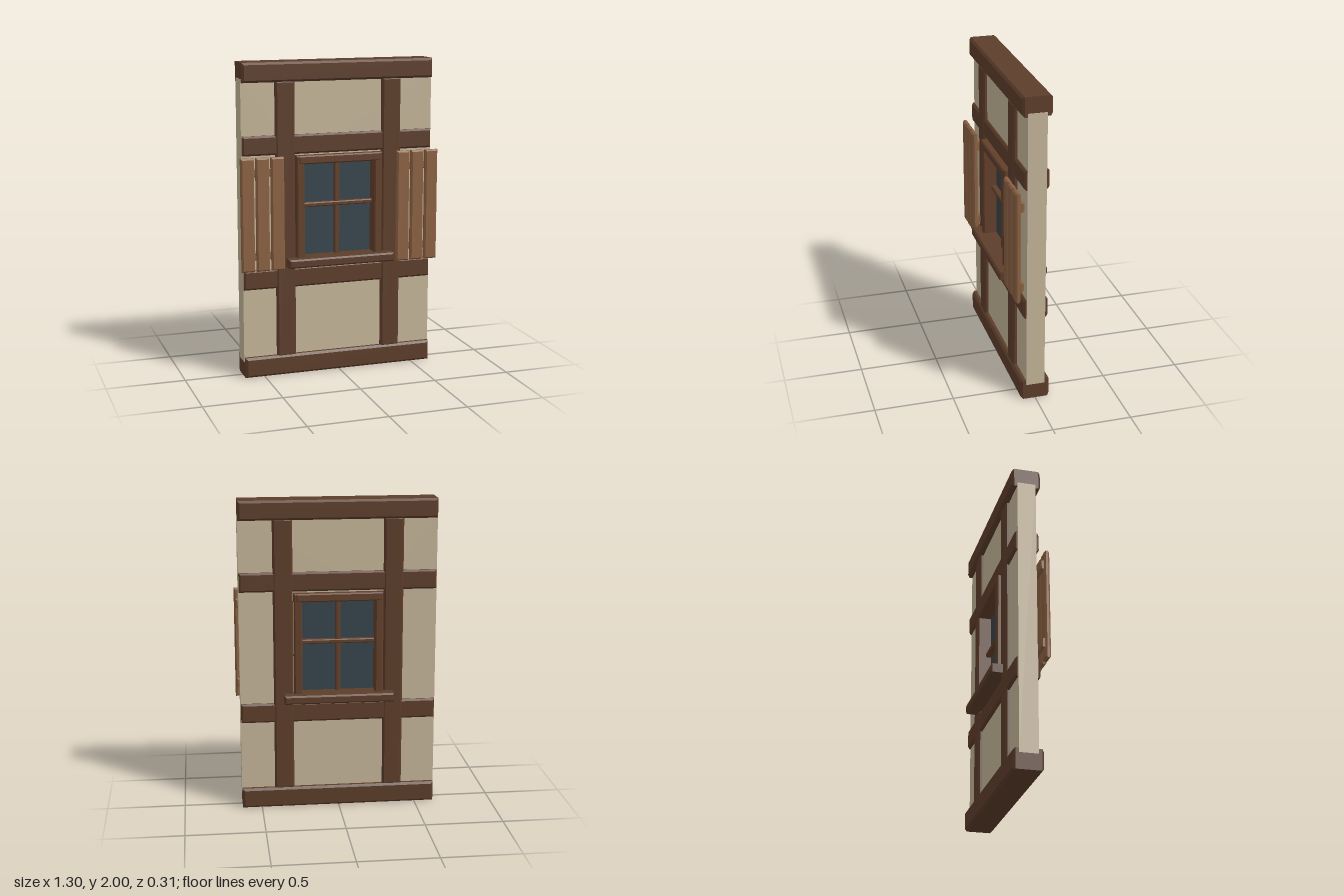
import * as THREE from 'three';

const mat = (name, color) => {
  const m = new THREE.MeshStandardMaterial({ color });
  m.name = name;
  return m;
};

export function createModel() {
  const model = new THREE.Group();
  model.name = 'timberFramedWall';
  const timber = mat('darkTimber', 0x5c3d2a);
  const trim = mat('windowTimber', 0x623f2a);
  const plank = mat('shutterWood', 0x8a6142);
  const plaster = mat('plaster', 0xc4b498);
  const glass = mat('glass', 0x36444c);

  // Box with chamfered edges, given by its limits on each axis
  function beam(name, material, [x0, x1], [y0, y1], [z0, z1], bevel = 0.012, parent = model) {
    const w = (x1 - x0) / 2 - bevel, h = (y1 - y0) / 2 - bevel, d = z1 - z0 - 2 * bevel;
    const shape = new THREE.Shape([
      new THREE.Vector2(-w, -h), new THREE.Vector2(w, -h),
      new THREE.Vector2(w, h), new THREE.Vector2(-w, h),
    ]);
    const geo = new THREE.ExtrudeGeometry(shape, {
      depth: d, bevelEnabled: true, bevelSegments: 1, bevelSize: bevel, bevelThickness: bevel,
    });
    geo.translate(0, 0, -d / 2);
    const mesh = new THREE.Mesh(geo, material);
    mesh.name = name;
    mesh.position.set((x0 + x1) / 2, (y0 + y1) / 2, (z0 + z1) / 2);
    parent.add(mesh);
    return mesh;
  }

  // Plaster panel with the window opening
  const rect = (Type, x, y0, y1) => new Type([
    new THREE.Vector2(-x, y0), new THREE.Vector2(x, y0),
    new THREE.Vector2(x, y1), new THREE.Vector2(-x, y1),
  ]);
  const panelShape = rect(THREE.Shape, 0.628, 0.1, 1.9);
  panelShape.holes.push(rect(THREE.Path, 0.25, 0.74, 1.39));
  const panelGeo = new THREE.ExtrudeGeometry(panelShape, { depth: 0.118, bevelEnabled: false });
  panelGeo.translate(0, 0, -0.059);
  const panel = new THREE.Mesh(panelGeo, plaster);
  panel.name = 'plasterPanel';
  model.add(panel);

  // Horizontal timbers
  beam('topBeam', timber, [-0.625, 0.625], [1.877, 2], [-0.093, 0.092], 0.014);
  beam('bottomBeam', timber, [-0.625, 0.625], [0, 0.13], [-0.093, 0.092], 0.014);
  beam('upperRail', timber, [-0.625, 0.625], [1.425, 1.548], [-0.078, 0.078]);
  beam('lowerRail', timber, [-0.625, 0.625], [0.572, 0.698], [-0.078, 0.078]);

  // Window frame, sill, glazing bars and pane
  const win = new THREE.Group();
  win.name = 'window';
  model.add(win);
  beam('frameHead', trim, [-0.27, 0.27], [1.362, 1.416], [-0.108, 0.108], 0.008, win);
  beam('sill', timber, [-0.35, 0.35], [0.71, 0.766], [-0.157, 0.157], 0.01, win);
  beam('verticalBar', trim, [-0.016, 0.016], [0.76, 1.37], [-0.045, 0.045], 0.006, win);
  beam('horizontalBar', trim, [-0.235, 0.235], [1.078, 1.106], [-0.05, 0.05], 0.006, win);
  const pane = new THREE.Mesh(new THREE.BoxGeometry(0.48, 0.62, 0.03), glass);
  pane.name = 'glassPane';
  pane.position.y = 1.065;
  win.add(pane);

  for (const s of [-1, 1]) {
    const side = s > 0 ? 'left' : 'right';
    const span = (a, b) => (s > 0 ? [a, b] : [-b, -a]);
    beam(side + 'Post', timber, span(0.288, 0.413), [0.12, 1.885], [-0.083, 0.085]);
    beam(side + 'FrameJamb', trim, span(0.232, 0.284), [0.755, 1.416], [-0.104, 0.104], 0.008, win);

    // Shutter: three planks on two battens
    const shutter = new THREE.Group();
    shutter.name = side + 'Shutter';
    model.add(shutter);
    for (let i = 0; i < 3; i++) {
      const x = 0.373 + i * 0.0965;
      beam('shutterPlank', plank, span(x, x + 0.085), [0.703, 1.42], [0.102, 0.136], 0.01, shutter);
    }
    for (const y of [0.8, 1.325])
      beam('shutterBatten', plank, span(0.39, 0.642), [y - 0.028, y + 0.028], [0.08, 0.108], 0.007, shutter);
  }
  return model;
}
